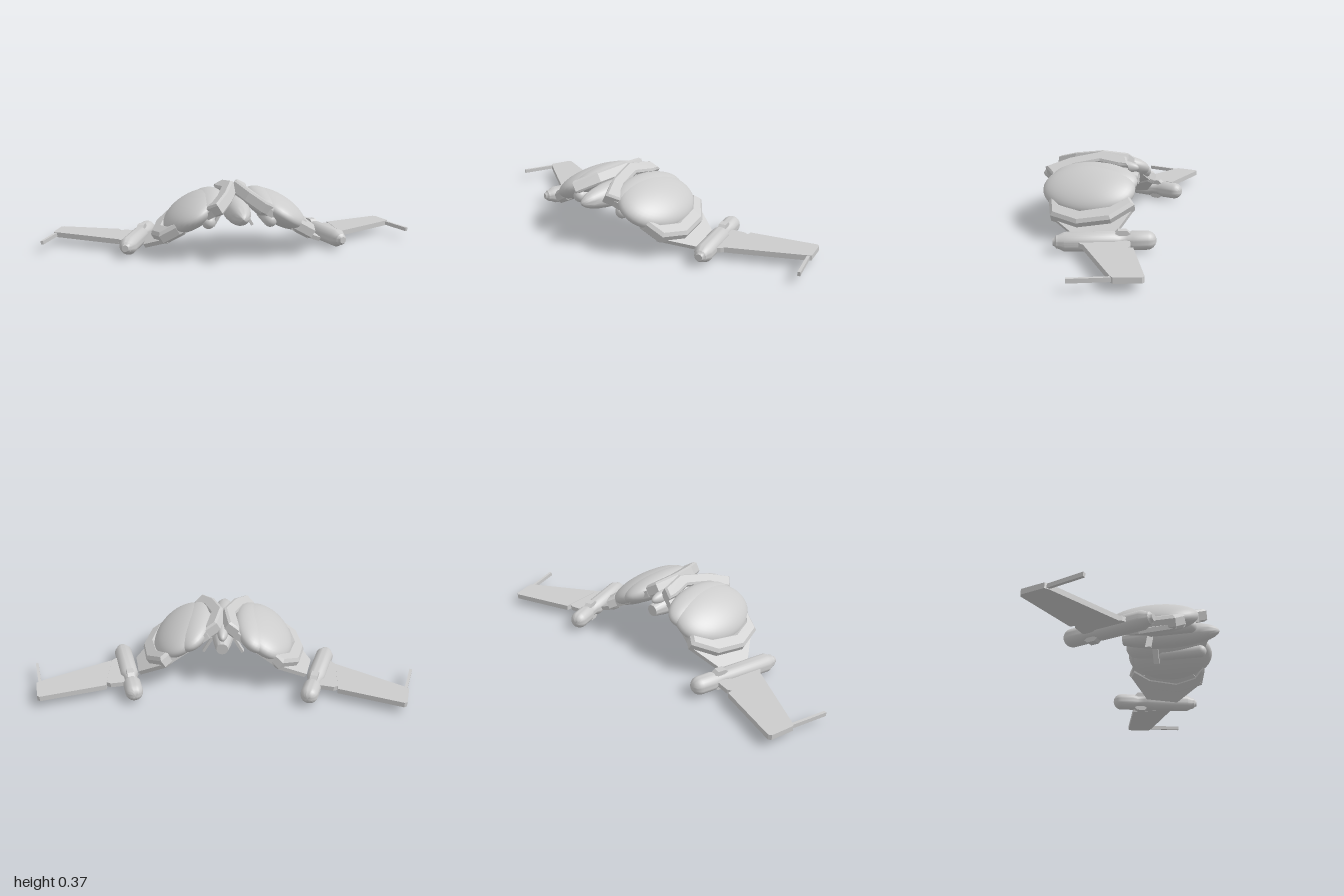
import * as THREE from 'three';
import { toCreasedNormals } from 'three/addons/utils/BufferGeometryUtils.js';

const TILT = Math.atan(0.6); // slope of each body half
const material = new THREE.MeshStandardMaterial({ color: 0xcccccc });

function add(parent, name, geometry, x = 0, y = 0, z = 0) {
  const mesh = new THREE.Mesh(geometry, material);
  mesh.name = name;
  mesh.position.set(x, y, z);
  parent.add(mesh);
  return mesh;
}

// Horizontal slab from an [x, z] outline, bevelled on its upper edge, underside near y = 0
function slab(points, depth, bevel = 0) {
  const shape = new THREE.Shape(points.map(([x, z]) => new THREE.Vector2(x, -z)));
  return new THREE.ExtrudeGeometry(shape, {
    depth: depth - bevel, bevelEnabled: bevel > 0, bevelThickness: bevel,
    bevelSize: bevel, bevelOffset: -bevel, bevelSegments: 1,
  }).rotateX(-Math.PI / 2);
}

// Slab lying on the sloped plane; outline in plan, top set by its depth below the plane
function slopedSlab(points, top, depth, bevel) {
  const flat = points.map(([x, z]) => [x / Math.cos(TILT), z]);
  return slab(flat, depth, bevel)
    .translate(0, -top - depth, 0).rotateZ(-TILT).translate(0, 0.37, 0);
}

// Round body along z from [radius, z] points, front to back
function turned(points, segments = 32) {
  const profile = points.map(([r, z]) => new THREE.Vector2(r, z)).reverse();
  return toCreasedNormals(new THREE.LatheGeometry(profile, segments).rotateX(Math.PI / 2), 0.6);
}

function ellipsoid(rx, ry, rz) {
  return new THREE.SphereGeometry(1, 40, 24).scale(rx, ry, rz);
}

function buildEngine() {
  const engine = new THREE.Group();
  engine.name = 'engine';
  const rear = [];
  for (let i = 0; i <= 6; i++) {
    const a = (i / 6) * Math.PI / 2;
    rear.push([0.045 * Math.cos(a), -0.195 - 0.045 * Math.sin(a)]);
  }
  add(engine, 'engineBody', turned([
    [0, 0.245], [0.017, 0.245], [0.021, 0.235], [0.03, 0.228], [0.033, 0.215], [0.046, 0.19],
    [0.046, -0.04], [0.034, -0.065], [0.034, -0.10], [0.045, -0.125], ...rear,
  ]));
  // Chamfered clamp over the neck
  const clamp = new THREE.Shape([
    [-0.04, 0.035], [-0.02, 0.053], [0.02, 0.053], [0.04, 0.035],
    [0.04, -0.035], [0.02, -0.053], [-0.02, -0.053], [-0.04, -0.035],
  ].map(([a, b]) => new THREE.Vector2(a, b)));
  add(engine, 'engineClamp', new THREE.ExtrudeGeometry(clamp, { depth: 0.036, bevelEnabled: false })
    .translate(0, 0, -0.018).rotateY(Math.PI / 2), 0, 0, -0.08);
  engine.position.set(0.498, 0.055, -0.1);
  engine.rotation.y = 0.29;
  // rotation about y keeps the nose outboard: local +z leans towards +x
  return engine;
}

function buildHalf(name) {
  const half = new THREE.Group();
  half.name = name;

  // Sloped body plate with raised inner and outer rims
  add(half, 'bodyPlate', slopedSlab([
    [0.12, 0.29], [0.06, 0.19], [0.02, 0.035], [0.04, -0.09], [0.09, -0.12],
    [0.19, -0.15], [0.30, -0.18], [0.38, -0.09], [0.415, 0.06], [0.385, 0.185],
    [0.31, 0.22], [0.20, 0.25],
  ], 0.015, 0.035, 0));
  add(half, 'innerRim', slopedSlab([
    [0.12, 0.31], [0.055, 0.195], [0.004, 0.035], [0.03, -0.10], [0.085, -0.12],
    [0.085, -0.07], [0.065, 0.035], [0.105, 0.165], [0.17, 0.255],
  ], -0.01, 0.055, 0.01));
  add(half, 'outerRim', slopedSlab([
    [0.32, 0.23], [0.40, 0.20], [0.435, 0.06], [0.40, -0.10], [0.31, -0.20],
    [0.265, -0.165], [0.33, -0.08], [0.365, 0.06], [0.34, 0.165], [0.285, 0.23],
  ], -0.013, 0.055, 0.015));
  add(half, 'wingRoot', slopedSlab([
    [0.385, 0.20], [0.49, 0.04], [0.455, -0.13], [0.31, -0.19], [0.30, 0.15],
  ], 0.03, 0.022, 0));

  // Smooth domes bulging through the plate, above and below
  add(half, 'mainDome', ellipsoid(0.165, 0.075, 0.235), 0.222, 0.223, 0.05).rotation.z = -TILT;
  add(half, 'innerDome', ellipsoid(0.115, 0.068, 0.225), 0.162, 0.252, 0.04).rotation.z = -TILT;

  // Under-body pod and thin splayed fin
  add(half, 'underPod', new THREE.CapsuleGeometry(0.034, 0.2, 8, 20).rotateX(Math.PI / 2),
    0.155, 0.2, 0.13);
  add(half, 'bellyFin', new THREE.BoxGeometry(0.014, 0.1, 0.03), 0.08, 0.17, 0).rotation.z = 0.52;

  half.add(buildEngine());

  // Flat wing with a notched root and a forward-pointing tip rod
  add(half, 'wing', slab([
    [0.59, -0.252], [0.905, -0.363], [0.92, -0.355], [0.95, -0.24], [0.935, -0.225],
    [0.60, -0.02],
  ], 0.027), 0, 0.04, 0);
  add(half, 'wingMount', slab([
    [0.48, -0.215], [0.57, -0.235], [0.60, -0.22], [0.605, -0.03], [0.59, -0.005],
    [0.565, 0.02], [0.53, 0.0],
  ], 0.024), 0, 0.0415, 0);
  const rod = add(half, 'tipRod', new THREE.BoxGeometry(0.014, 0.02, 0.205), 0.962, 0.054, -0.152);
  rod.rotation.y = 0.32;
  return half;
}

export function createModel() {
  const model = new THREE.Group();
  model.name = 'wingedCraft';

  const left = buildHalf('leftHalf');
  const right = buildHalf('rightHalf');
  right.scale.x = -1;
  model.add(left, right);

  // Central fuselage with rounded, pointed nose
  add(model, 'fuselage', turned([
    [0, 0.36], [0.014, 0.352], [0.028, 0.333], [0.04, 0.305], [0.052, 0.26], [0.062, 0.2],
    [0.068, 0.1], [0.062, 0], [0.045, -0.1], [0.03, -0.16], [0, -0.16],
  ]), 0, 0.235, 0);
  add(model, 'tailSpine', ellipsoid(0.03, 0.035, 0.1), 0, 0.29, -0.06);
  return model;
}
